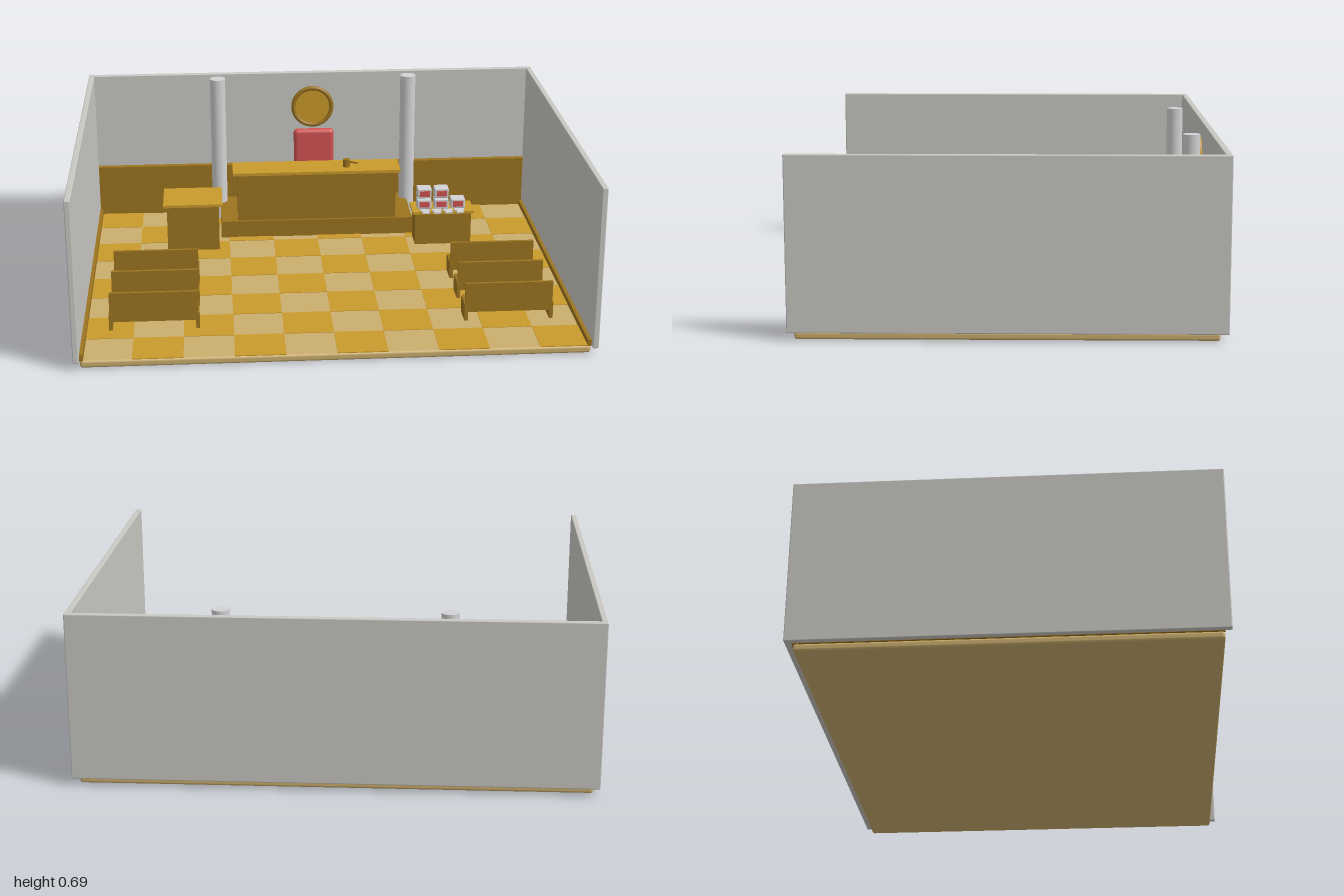
import * as THREE from 'three';
import { RoundedBoxGeometry } from 'three/addons/geometries/RoundedBoxGeometry.js';

function makeMaterial(name, color) {
  const m = new THREE.MeshStandardMaterial({ color });
  m.name = name;
  return m;
}

export function createModel() {
  const root = new THREE.Group();
  root.name = 'courtroom';
  const wall = makeMaterial('wall grey', 0xc8c7c2);
  const stone = makeMaterial('stone white', 0xd2d2d4);
  const brown = makeMaterial('dark wood', 0x9c7420);
  const gold = makeMaterial('golden wood', 0xca9a2c);
  const tan = makeMaterial('tan tile', 0xcbae6e);
  const red = makeMaterial('red', 0xd25252);

  const add = (name, geometry, material, parent = root) => {
    const mesh = new THREE.Mesh(geometry, material);
    mesh.name = name;
    parent.add(mesh);
    return mesh;
  };
  // Box given by its limits on each axis; r rounds the edges
  const box = (name, material, [x0, x1], [y0, y1], [z0, z1], parent = root, r = 0) => {
    const size = [x1 - x0, y1 - y0, z1 - z0];
    const g = r ? new RoundedBoxGeometry(...size, 3, r) : new THREE.BoxGeometry(...size);
    const mesh = add(name, g, material, parent);
    mesh.position.set((x0 + x1) / 2, (y0 + y1) / 2, (z0 + z1) / 2);
    return mesh;
  };
  const group = (name, parent = root) => {
    const g = new THREE.Group();
    g.name = name;
    parent.add(g);
    return g;
  };

  // Floor slab with a chequered top
  box('floorSlab', tan, [-0.975, 0.975], [0, 0.03], [-0.775, 0.775], root, 0.01);
  const tiles = group('floorTiles');
  const t = 0.195;
  for (let row = 0; row < 8; row++) {
    for (let col = 0; col < 10; col++) {
      if ((row + col) % 2) continue;
      const x = -0.975 + col * t, z = -0.78 + row * t;
      box('goldTile', gold, [Math.max(x, -0.968), Math.min(x + t, 0.968)], [0.028, 0.032],
        [Math.max(z, -0.77), Math.min(z + t, 0.77)], tiles);
    }
  }

  // Three walls, open at the front
  box('backWall', wall, [-1, 1], [0.03, 0.685], [-0.805, -0.78], root, 0.004);
  for (const s of [-1, 1]) {
    const xs = [s * 1, s * 0.977].sort((a, b) => a - b);
    box('sideWall', wall, xs, [0.03, 0.685], [-0.805, 0.8], root, 0.004);
    const bs = [s * 0.977, s * 0.963].sort((a, b) => a - b);
    box('baseboard', brown, bs, [0.03, 0.055], [-0.755, 0.775]);
  }

  // Panelling along the back wall with a cap rail
  box('wainscot', brown, [-0.975, 0.975], [0.03, 0.25], [-0.78, -0.76]);
  box('wainscotCap', brown, [-0.975, 0.975], [0.25, 0.26], [-0.78, -0.752]);

  // Two columns
  for (const s of [-1, 1]) {
    const column = add('column', new THREE.CylinderGeometry(0.034, 0.034, 0.655, 32), stone);
    column.position.set(s * 0.427, 0.3575, -0.705);
  }

  // Raised bench for the judge
  const bench = group('judgeBench');
  box('podium', brown, [-0.425, 0.425], [0.03, 0.105], [-0.75, -0.435], bench);
  box('deskBody', brown, [-0.35, 0.35], [0.105, 0.317], [-0.575, -0.447], bench);
  box('deskTop', gold, [-0.37, 0.37], [0.317, 0.33], [-0.585, -0.435], bench);
  box('chairBack', red, [-0.09, 0.09], [0.105, 0.455], [-0.685, -0.645], bench, 0.018);

  // Round plaque on the back wall
  const plaque = group('wallPlaque');
  plaque.position.set(0, 0.532, -0.765);
  const disc = add('plaqueFace', new THREE.CylinderGeometry(0.087, 0.087, 0.03, 48), gold, plaque);
  disc.rotation.x = Math.PI / 2;
  const rim = add('plaqueRim', new THREE.TorusGeometry(0.086, 0.01, 12, 48), brown, plaque);
  rim.position.z = 0.013;

  // Gavel on the desk
  const gavel = group('gavel');
  gavel.position.set(0.135, 0.33, -0.5);
  const head = add('gavelHead', new THREE.CylinderGeometry(0.016, 0.016, 0.034, 20), brown, gavel);
  head.position.y = 0.017;
  const handle = add('gavelHandle', new THREE.CylinderGeometry(0.004, 0.004, 0.056, 10), brown, gavel);
  const direction = new THREE.Vector3(0.046, 0, 0.028);
  handle.position.copy(direction).multiplyScalar(0.5).setY(0.024);
  handle.quaternion.setFromUnitVectors(new THREE.Vector3(0, 1, 0), direction.normalize());

  // Witness stand
  const stand = group('witnessStand');
  box('standBody', brown, [-0.66, -0.435], [0.03, 0.233], [-0.49, -0.295], stand);
  box('standTop', gold, [-0.675, -0.42], [0.233, 0.245], [-0.5, -0.285], stand);

  // Side table holding small cases
  const table = group('sideTable');
  box('tableBody', brown, [0.422, 0.668], [0.03, 0.172], [-0.41, -0.3], table);
  box('tableTop', gold, [0.41, 0.68], [0.172, 0.184], [-0.42, -0.29], table);
  const cases = [[0.465, 0], [0.54, 0], [0.613, 0], [0.465, 1], [0.54, 1]];
  for (const [x, level] of cases) {
    const y = 0.184 + level * 0.05;
    box('case', stone, [x - 0.031, x + 0.031], [y, y + 0.043], [-0.382, -0.325], table, 0.004);
    box('casePanel', red, [x - 0.022, x + 0.022], [y + 0.01, y + 0.034], [-0.328, -0.319], table);
  }
  // Flat cut-outs laid along the front edge
  const outline = [[-0.022, 0], [0.022, 0], [0.02, -0.022], [0.012, -0.022], [0.016, -0.047],
    [-0.016, -0.047], [-0.012, -0.022], [-0.02, -0.022]];
  const cutout = new THREE.ExtrudeGeometry(
    new THREE.Shape(outline.map(([x, y]) => new THREE.Vector2(x, y))),
    { depth: 0.006, bevelEnabled: false });
  cutout.rotateX(-Math.PI / 2);
  for (let i = 0; i < 4; i++) {
    add('tableCutout', cutout, stone, table).position.set(0.466 + i * 0.05, 0.184, -0.312);
  }

  // Public benches: three rows on each side, facing the back wall
  for (const s of [-1, 1]) {
    for (const z of [0.037, 0.25, 0.465]) {
      const pew = group('pew');
      pew.position.set(s * 0.7, 0, z);
      box('pewSeat', brown, [-0.17, 0.17], [0.065, 0.08], [-0.043, 0.043], pew);
      box('pewBack', brown, [-0.174, 0.174], [0.075, 0.187], [0.03, 0.043], pew);
      for (const e of [-1, 1]) {
        const xs = [e * 0.163, e * 0.177].sort((a, b) => a - b);
        box('pewEnd', brown, xs, [0.03, 0.1], [-0.048, 0.048], pew);
      }
    }
  }
  return root;
}
